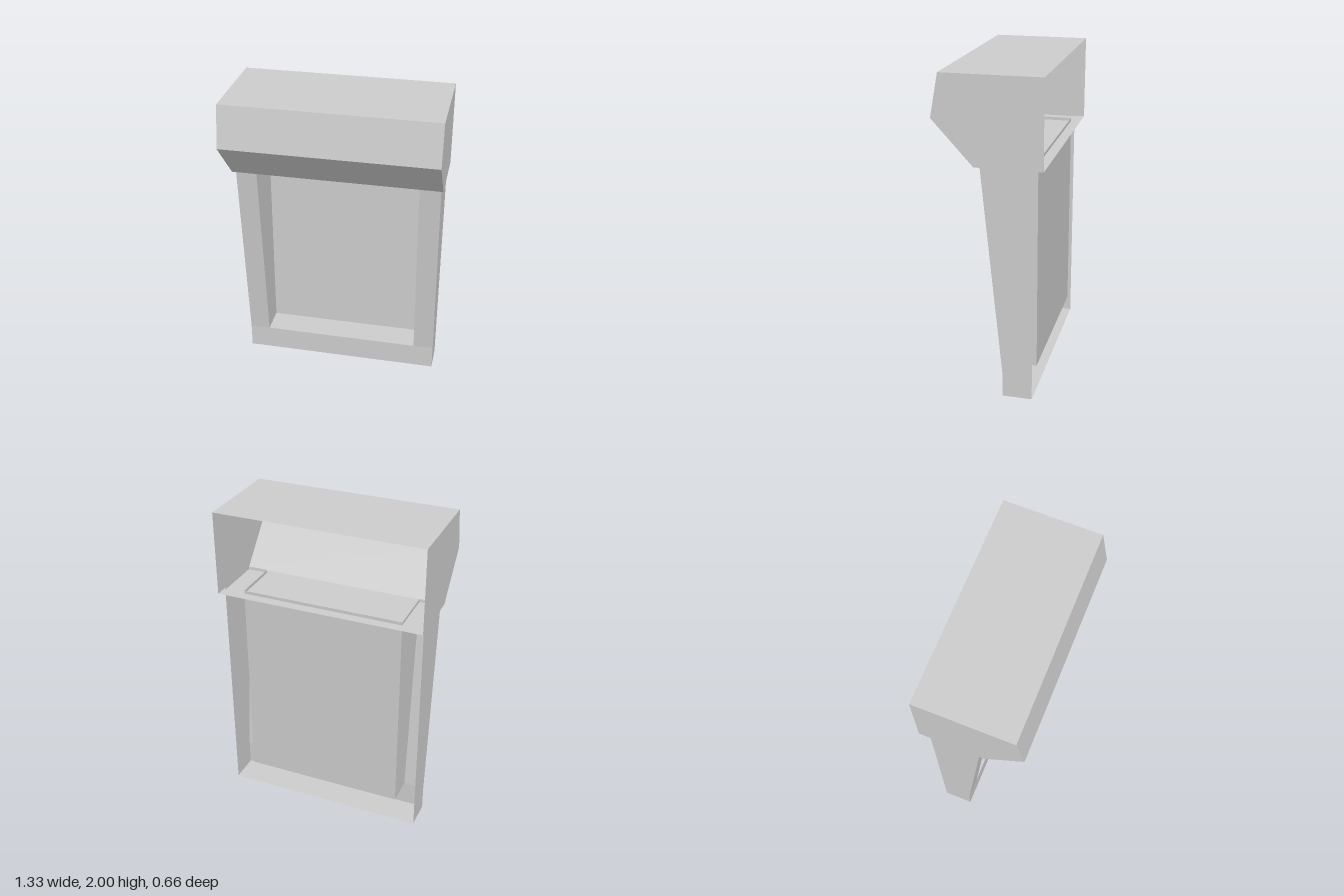
import * as THREE from 'three';

const material = new THREE.MeshStandardMaterial({ color: 0xcccccc, flatShading: true, side: THREE.DoubleSide });

// Main dimensions
const HEAD_X = 0.663, BODY_X = 0.648, INNER_X = 0.515;
const BACK = -0.265, FOOT_Z = -0.08, TOP_Z = 0.05, SILL_Y = 0.16, BODY_TOP = 1.485;

function addMesh(parent, name, geometry) {
  const mesh = new THREE.Mesh(geometry, material);
  mesh.name = name;
  parent.add(mesh);
  return mesh;
}

// Sheet made by sweeping a [z, y] profile straight across from x0 to x1
function sweep(profile, x0, x1) {
  const positions = [];
  for (let i = 0; i < profile.length - 1; i++) {
    const [az, ay] = profile[i], [bz, by] = profile[i + 1];
    positions.push(x0, ay, az, x0, by, bz, x1, by, bz);
    positions.push(x0, ay, az, x1, by, bz, x1, ay, az);
  }
  const geometry = new THREE.BufferGeometry();
  geometry.setAttribute('position', new THREE.Float32BufferAttribute(positions, 3));
  geometry.computeVertexNormals();
  return geometry;
}

// Flat side panel with a [z, y] outline, facing -x
function sidePanel(outline) {
  const shape = new THREE.Shape(outline.map(([z, y]) => new THREE.Vector2(z, y)));
  return new THREE.ShapeGeometry(shape).rotateY(-Math.PI / 2);
}

export function createModel() {
  const model = new THREE.Group();
  model.name = 'hoodedFrame';

  // Hood: folded shell with closed ends and an open back
  const hood = new THREE.Group();
  hood.name = 'hood';
  const hoodProfile = [[-0.328, 2], [0.28, 2], [0.329, 1.737], [0.08, 1.465], [-0.328, 1.465]];
  addMesh(hood, 'hoodShell', sweep(hoodProfile, -HEAD_X, HEAD_X));

  // Body: shallow shell with a tapered surround and a recessed panel
  const body = new THREE.Group();
  body.name = 'body';
  addMesh(body, 'sill', sweep([[FOOT_Z, SILL_Y], [FOOT_Z, 0], [BACK, 0]], -BODY_X, BODY_X));
  addMesh(body, 'recessedPanel',
    sweep([[BACK, BODY_TOP], [BACK, SILL_Y], [FOOT_Z, SILL_Y]], -INNER_X, INNER_X));

  const outerSide = [[BACK, 0], [FOOT_Z, 0], [FOOT_Z, SILL_Y], [TOP_Z, BODY_TOP], [BACK, BODY_TOP]];
  const innerSide = [[BACK, SILL_Y], [FOOT_Z, SILL_Y], [TOP_Z, BODY_TOP], [BACK, BODY_TOP]];
  for (const [side, s] of [['left', 1], ['right', -1]]) {
    const hoodEnd = addMesh(hood, side + 'HoodEnd', sidePanel(hoodProfile));
    hoodEnd.position.x = s * HEAD_X;
    hoodEnd.scale.x = -s;

    const outer = addMesh(body, side + 'OuterWall', sidePanel(outerSide));
    outer.position.x = s * BODY_X;
    outer.scale.x = -s;

    const inner = addMesh(body, side + 'InnerWall', sidePanel(innerSide));
    inner.position.x = s * INNER_X;
    inner.scale.x = s;

    // Sloping front strip between the inner and outer walls
    const [x0, x1] = s > 0 ? [INNER_X, BODY_X] : [-BODY_X, -INNER_X];
    addMesh(body, side + 'FrontStrip', sweep([[TOP_Z, BODY_TOP], [FOOT_Z, SILL_Y]], x0, x1));
  }

  model.add(hood, body);
  return model;
}
